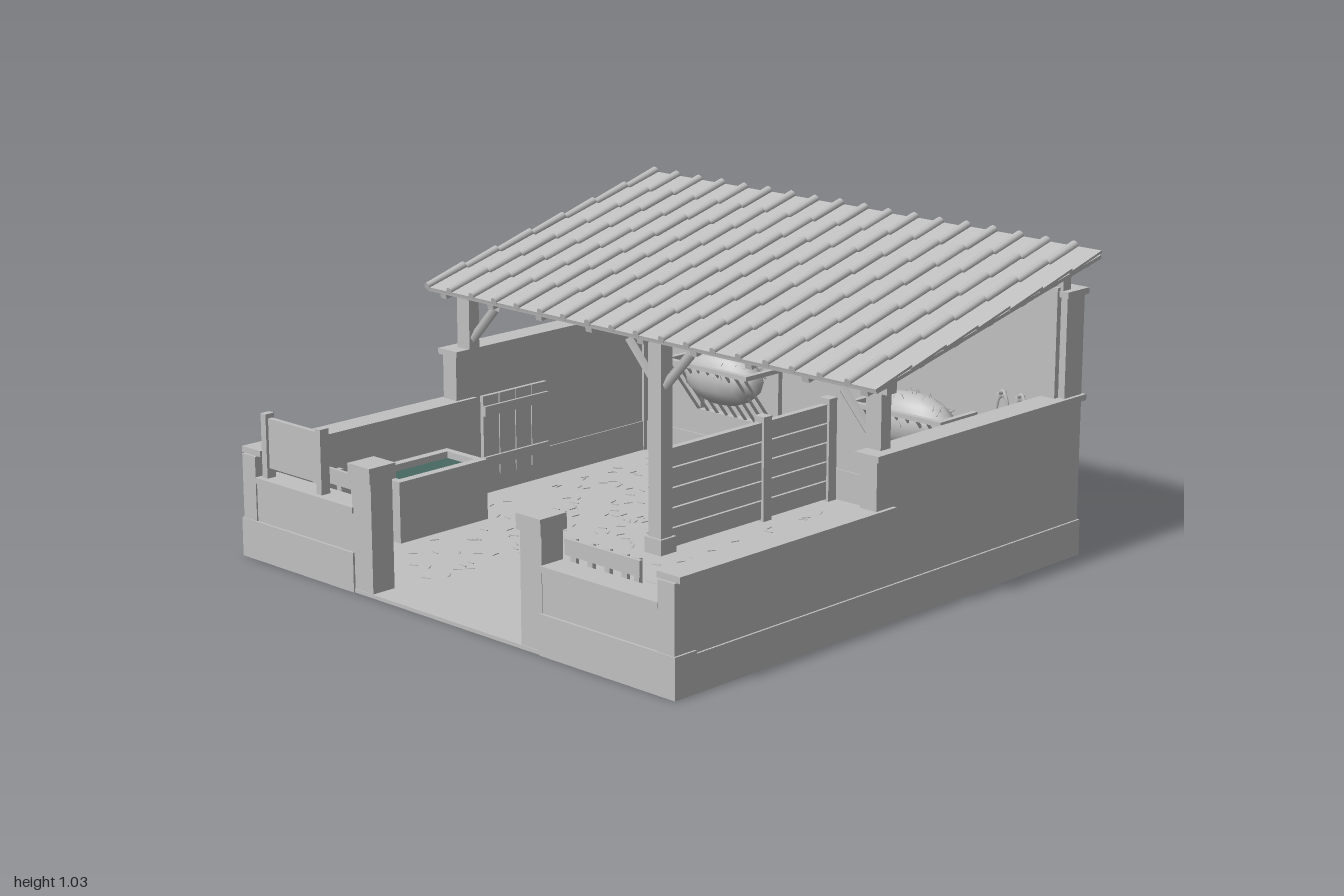
import * as THREE from 'three';
import { mergeGeometries } from 'three/addons/utils/BufferGeometryUtils.js';

const mat = (name, color) => Object.assign(new THREE.MeshStandardMaterial({ color }), { name });

export function createModel() {
  const root = new THREE.Group();
  root.name = 'stable';
  const grey = mat('plainGrey', 0xc0c0c0);
  const green = mat('waterGreen', 0x466961);

  let seed = 7;
  const rnd = () => (seed = (seed * 16807) % 2147483647) / 2147483647;

  const add = (name, geo, parent = root, m = grey) => {
    const mesh = new THREE.Mesh(geo, m);
    mesh.name = name;
    parent.add(mesh);
    return mesh;
  };
  // Box given by its min and max on each axis
  const boxGeo = (x0, x1, y0, y1, z0, z1) =>
    new THREE.BoxGeometry(x1 - x0, y1 - y0, z1 - z0).translate((x0 + x1) / 2, (y0 + y1) / 2, (z0 + z1) / 2);
  const box = (name, x0, x1, y0, y1, z0, z1, parent = root, m = grey) =>
    add(name, boxGeo(x0, x1, y0, y1, z0, z1), parent, m);
  // Round or square bar between two points
  const bar = (name, a, b, r, sides = 6, parent = root) => {
    const p = new THREE.Vector3(...a), q = new THREE.Vector3(...b);
    const mesh = add(name, new THREE.CylinderGeometry(r, r, p.distanceTo(q), sides), parent);
    mesh.position.copy(p).lerp(q, 0.5);
    mesh.quaternion.setFromUnitVectors(new THREE.Vector3(0, 1, 0), q.sub(p).normalize());
    return mesh;
  };

  // Floor and back wall
  box('floor', -0.965, 0.965, 0, 0.012, -0.92, 0.96);
  box('backWall', -0.965, 0.965, 0, 0.87, -0.92, -0.83);
  box('backWallCap', -0.975, 0.975, 0.87, 0.89, -0.93, -0.82);
  box('backPlinth', -0.972, 0.972, 0, 0.12, -0.926, -0.824);
  box('backBeam', -0.95, 0.95, 0.89, 0.945, -0.865, -0.825);

  for (const s of [-1, 1]) {
    const side = new THREE.Group();
    side.name = s < 0 ? 'rightSide' : 'leftSide';
    root.add(side);
    const sb = (name, x0, x1, ...r) => box(name, Math.min(s * x0, s * x1), Math.max(s * x0, s * x1), ...r, side);
    // Stepped side wall
    sb('tallWall', 0.9, 0.965, 0, 0.52, -0.92, 0.09);
    sb('tallWallCap', 0.885, 0.978, 0.52, 0.54, -0.93, 0.1);
    sb('lowWall', 0.9, 0.965, 0, 0.345, 0.09, 0.96);
    sb('lowWallCap', 0.885, 0.978, 0.345, 0.365, 0.01, 0.95);
    sb('sidePlinth', 0.895, 0.972, 0, 0.12, -0.92, 0.962);
    // Front wall with pillar
    sb('frontWall', 0.42, 0.9, 0, 0.258, 0.88, 0.955);
    sb('frontWallCap', 0.42, 0.9, 0.258, 0.277, 0.87, 0.963);
    sb('frontPlinth', 0.42, 0.972, 0, 0.13, 0.875, 0.964);
    sb('gatePillar', 0.335, 0.425, 0, 0.37, 0.87, 0.957);
    sb('pillarCap', 0.328, 0.432, 0.37, 0.42, 0.86, 0.967);
    // Posts and braces carrying the roof
    sb('frontPost', 0.88, 0.94, 0.54, 0.74, 0, 0.045);
    sb('backPost', 0.89, 0.94, 0.012, 0.9, -0.84, -0.81);
    bar('outerBrace', [s * 0.89, 0.57, 0.022], [s * 0.77, 0.7, 0.022], 0.018, 4, side);
    bar('centreBrace', [s * 0.02, 0.57, 0.022], [s * 0.14, 0.7, 0.022], 0.018, 4, side);
    // Open gate folded against the front wall
    for (let i = 0; i < 4; i++) {
      const y = 0.06 + i * 0.078;
      sb('gateRail', 0.435, 0.745, y, y + 0.05, 0.862, 0.874);
    }
    for (const x of [0.45, 0.52, 0.59, 0.66, 0.71]) sb('gateUpright', x, x + 0.022, 0.04, 0.345, 0.85, 0.863);

    // Hay rack on the back wall
    const rack = new THREE.Group();
    rack.name = 'hayRack';
    rack.position.set(s * 0.425, 0, -0.82);
    side.add(rack);
    box('rackFrontRail', -0.2, 0.2, 0.42, 0.436, 0.17, 0.19, rack);
    box('rackBottomRail', -0.19, 0.19, 0.205, 0.225, 0, 0.03, rack);
    for (const e of [-1, 1]) {
      box('rackEndRail', e * 0.19 - 0.01, e * 0.19 + 0.01, 0.42, 0.436, 0, 0.18, rack);
      box('rackWallPost', e * 0.185 - 0.01, e * 0.185 + 0.01, 0.21, 0.43, 0, 0.02, rack);
    }
    for (let i = 0; i <= 8; i++) {
      const x = -0.18 + i * 0.045;
      bar('rackBar', [x, 0.215, 0.015], [x, 0.425, 0.18], 0.006, 6, rack);
    }
    const hay = add('hay', new THREE.SphereGeometry(1, 14, 8), rack);
    hay.scale.set(0.175, 0.1, 0.085);
    hay.position.set(0, 0.385, 0.09);
    const wisps = [];
    for (let i = 0; i < 70; i++) {
      const a = rnd() * Math.PI * 2, r = Math.sqrt(rnd());
      wisps.push(new THREE.ConeGeometry(0.005, 0.07, 3)
        .rotateZ((rnd() - 0.5) * 2).rotateX((rnd() - 0.5) * 2)
        .translate(0.165 * r * Math.cos(a), 0.38 + 0.085 * Math.sqrt(1 - r * r), 0.09 + 0.08 * r * Math.sin(a)));
    }
    add('hayWisps', mergeGeometries(wisps), rack);
  }

  // Centre post, beam and plank partition
  box('centrePost', -0.028, 0.028, 0.012, 0.74, -0.005, 0.048);
  box('postBase', -0.037, 0.037, 0.012, 0.065, -0.015, 0.058);
  box('frontBeam', -0.96, 0.96, 0.715, 0.75, 0, 0.045);
  for (let i = 0; i < 5; i++) box('partitionPlank', -0.012, 0.012, 0.02 + i * 0.068, 0.083 + i * 0.068, -0.82, 0);
  for (const z of [-0.8, -0.47]) box('partitionPost', -0.022, 0.022, 0.012, 0.375, z - 0.02, z + 0.02);

  // Sloping roof, built flat and tilted
  const roof = new THREE.Group();
  roof.name = 'roof';
  roof.position.set(0, 0.87, -0.418);
  roof.rotation.x = 0.215;
  root.add(roof);
  const half = 0.56, rows = 7, len = (2 * half) / rows, pitch = 0.11;
  box('roofDeck', -0.99, 0.99, -0.01, 0.002, -half, half, roof);
  for (let i = 0; i < 9; i++) {
    const x = -0.93 + i * 0.2325;
    box('rafter', x - 0.014, x + 0.014, -0.032, -0.01, -half + 0.02, half - 0.01, roof);
  }
  for (let i = 0; i < 7; i++) {
    const z = -0.5 + i * 0.167;
    box('batten', -0.98, 0.98, -0.018, -0.01, z - 0.012, z + 0.012, roof);
  }
  const tiles = [], ribs = [];
  for (let c = 0; c < 18; c++) {
    const x = -0.985 + c * pitch;
    for (let r = 0; r < rows; r++) {
      const z = half - len * (r + 0.5), j = (rnd() - 0.5) * 0.012;
      tiles.push(new THREE.BoxGeometry(pitch - 0.004, 0.008, len + 0.012)
        .rotateX(0.05).translate(x + pitch / 2, 0.008 + j * 0.2, z + (r ? j : 0)));
      ribs.push(new THREE.CylinderGeometry(0.013, 0.016, len + 0.015, 8)
        .rotateX(Math.PI / 2 + 0.05).translate(x + j * 0.3, 0.015, z + (r ? j : 0)));
    }
  }
  add('roofTiles', mergeGeometries(tiles), roof);
  add('ridgeTiles', mergeGeometries(ribs), roof);

  // Water trough
  const trough = new THREE.Group();
  trough.name = 'trough';
  root.add(trough);
  box('troughBottom', -0.865, -0.675, 0.012, 0.06, 0.17, 0.545, trough);
  for (const x of [-0.87, -0.702]) box('troughSide', x, x + 0.032, 0.012, 0.22, 0.165, 0.552, trough);
  for (const z of [0.165, 0.525]) box('troughEnd', -0.84, -0.7, 0.012, 0.22, z, z + 0.027, trough);
  box('water', -0.839, -0.701, 0.19, 0.197, 0.191, 0.526, trough, green);

  // Board standing on the front wall
  box('board', -0.87, -0.61, 0.31, 0.475, 0.915, 0.933);
  for (const x of [-0.885, -0.615]) box('boardPost', x, x + 0.025, 0.277, 0.49, 0.908, 0.943);

  // Plank panel against the tall wall
  for (let i = 0; i < 4; i++) box('panelPlank', -0.88, -0.865, 0.08, 0.37, -0.3 + i * 0.076, -0.228 + i * 0.076);
  for (const y of [0.12, 0.3]) box('panelRail', -0.866, -0.855, y, y + 0.035, -0.3, 0);

  // Tubs as open lathe shapes
  const tub = (name, x, z, r, h) => {
    const pts = [[0, 0], [r * 0.8, 0], [r * 0.95, h * 0.5], [r * 0.88, h * 0.94], [r, h * 0.95], [r, h],
      [r * 0.7, h], [r * 0.66, h * 0.75], [0, h * 0.75]].map(p => new THREE.Vector2(...p));
    const g = new THREE.LatheGeometry(pts, 20).toNonIndexed();
    g.computeVertexNormals();
    add(name, g).position.set(x, 0.012, z);
  };
  tub('largeTub', 0.795, 0.28, 0.1, 0.24);
  tub('smallTub', 0.81, 0.48, 0.073, 0.18);
  // Basket with round produce
  tub('basket', 0.75, 0.12, 0.088, 0.16);
  for (let i = 0; i < 6; i++) {
    add('produce', new THREE.SphereGeometry(0.022, 8, 6))
      .position.set(0.75 + 0.045 * Math.cos(i * 1.047), 0.155, 0.12 + 0.045 * Math.sin(i * 1.047));
  }

  // Slatted bench
  for (let i = 0; i < 4; i++) box('benchSlat', 0.555, 0.898, 0.17, 0.19, 0.617 + i * 0.041, 0.655 + i * 0.041);
  for (const x of [0.58, 0.84]) box('benchLeg', x, x + 0.03, 0.012, 0.17, 0.63, 0.765);

  // Hanging harness collars and hook on the back wall
  for (const x of [0.73, 0.805]) {
    const collar = add('collar', new THREE.TorusGeometry(0.024, 0.005, 8, 20));
    collar.scale.y = 2.9;
    collar.position.set(x, 0.45, -0.815);
    bar('collarPeg', [x, 0.52, -0.83], [x, 0.525, -0.79], 0.006);
  }
  box('wallHook', 0.86, 0.89, 0.38, 0.388, -0.82, -0.76);

  // Loose straw on the floor
  const straw = [];
  const scatter = (n, x0, x1, z0, z1) => {
    for (let i = 0; i < n; i++) {
      straw.push(new THREE.BoxGeometry(0.03, 0.003, 0.005).rotateY(rnd() * Math.PI)
        .translate(x0 + rnd() * (x1 - x0), 0.0135, z0 + rnd() * (z1 - z0)));
    }
  };
  scatter(130, -0.8, -0.08, -0.78, 0.15);
  scatter(130, 0.08, 0.8, -0.78, 0.15);
  scatter(30, -0.62, -0.3, 0.15, 0.76);
  scatter(22, 0.36, 0.68, 0.2, 0.72);
  add('straw', mergeGeometries(straw));

  return root;
}
